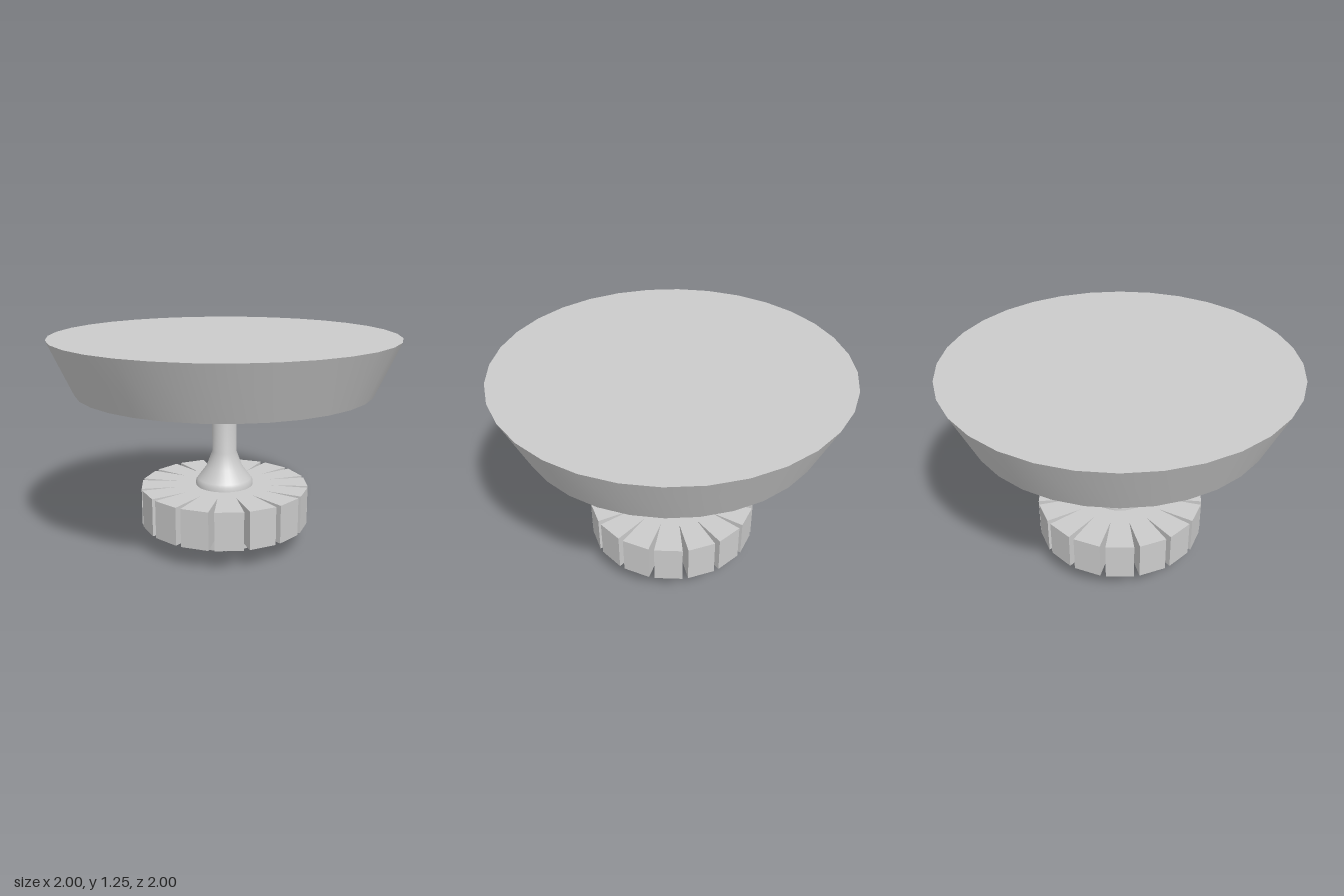
import * as THREE from 'three';
import { toCreasedNormals } from 'three/addons/utils/BufferGeometryUtils.js';

const grey = new THREE.MeshStandardMaterial({ color: 0xcccccc });
const flatGrey = new THREE.MeshStandardMaterial({ color: 0xcccccc, flatShading: true });

export function createModel() {
  const group = new THREE.Group();

  function add(name, geometry, material = grey) {
    const mesh = new THREE.Mesh(geometry, material);
    mesh.name = name;
    group.add(mesh);
    return mesh;
  }

  // Turned part from [radius, height] pairs, with crisp profile corners
  function turned(name, profile, crease = 0.6) {
    const points = profile.map(([r, y]) => new THREE.Vector2(r, y));
    return add(name, toCreasedNormals(new THREE.LatheGeometry(points, 32), crease));
  }

  // Flat outline (in plan) raised from y0 to y1
  function raised(name, shape, y0, y1) {
    const geometry = new THREE.ExtrudeGeometry(shape, { depth: y1 - y0, bevelEnabled: false, curveSegments: 16 });
    geometry.rotateX(-Math.PI / 2).translate(0, y0, 0);
    return add(name, geometry, flatGrey);
  }

  // Flared top disc, recessed underneath
  turned('topDisc', [[0, 1.085], [0.6, 1.085], [0.71, 0.94], [0.86, 0.94], [1, 1.25], [0, 1.25]]);

  // Two square mounting blocks with cut corners, turned 45 degrees to each other
  const h = 0.19, c = 0.135;
  const block = new THREE.Shape(
    [[h, -c], [h, c], [c, h], [-c, h], [-h, c], [-h, -c], [-c, -h], [c, -h]].map(([x, y]) => new THREE.Vector2(x, y))
  );
  raised('upperMount', block, 1.01, 1.085).rotation.y = Math.PI / 4;
  raised('lowerMount', block, 0.92, 1.01);

  // Shaft with its flared foot
  turned('shaft', [[0.17, 0.345], [0.17, 0.38], [0.16, 0.395], [0.108, 0.465], [0.072, 0.56], [0.072, 0.93]], 0.9);

  // Wheel cut by sixteen tapering radial slots
  const count = 16, radius = 0.5, slotRoot = 0.28, halfSlot = 0.033;
  const outline = [];
  for (let i = 0; i < count; i++) {
    const a = (i / count) * Math.PI * 2;
    const b = ((i + 1) / count) * Math.PI * 2;
    for (const [r, t] of [[slotRoot, a], [radius, a + halfSlot], [radius, b - halfSlot]]) {
      outline.push(new THREE.Vector2(r * Math.cos(t), r * Math.sin(t)));
    }
  }
  const wheel = new THREE.Shape(outline);
  wheel.holes.push(new THREE.Path().absarc(0, 0, 0.165, 0, Math.PI * 2, true));
  raised('slottedWheel', wheel, 0.13, 0.355);

  // Hollow collar under the wheel
  turned('collar', [[0, 0.34], [0.17, 0.34], [0.17, 0], [0.205, 0], [0.205, 0.095], [0.28, 0.131]]);

  return group;
}
